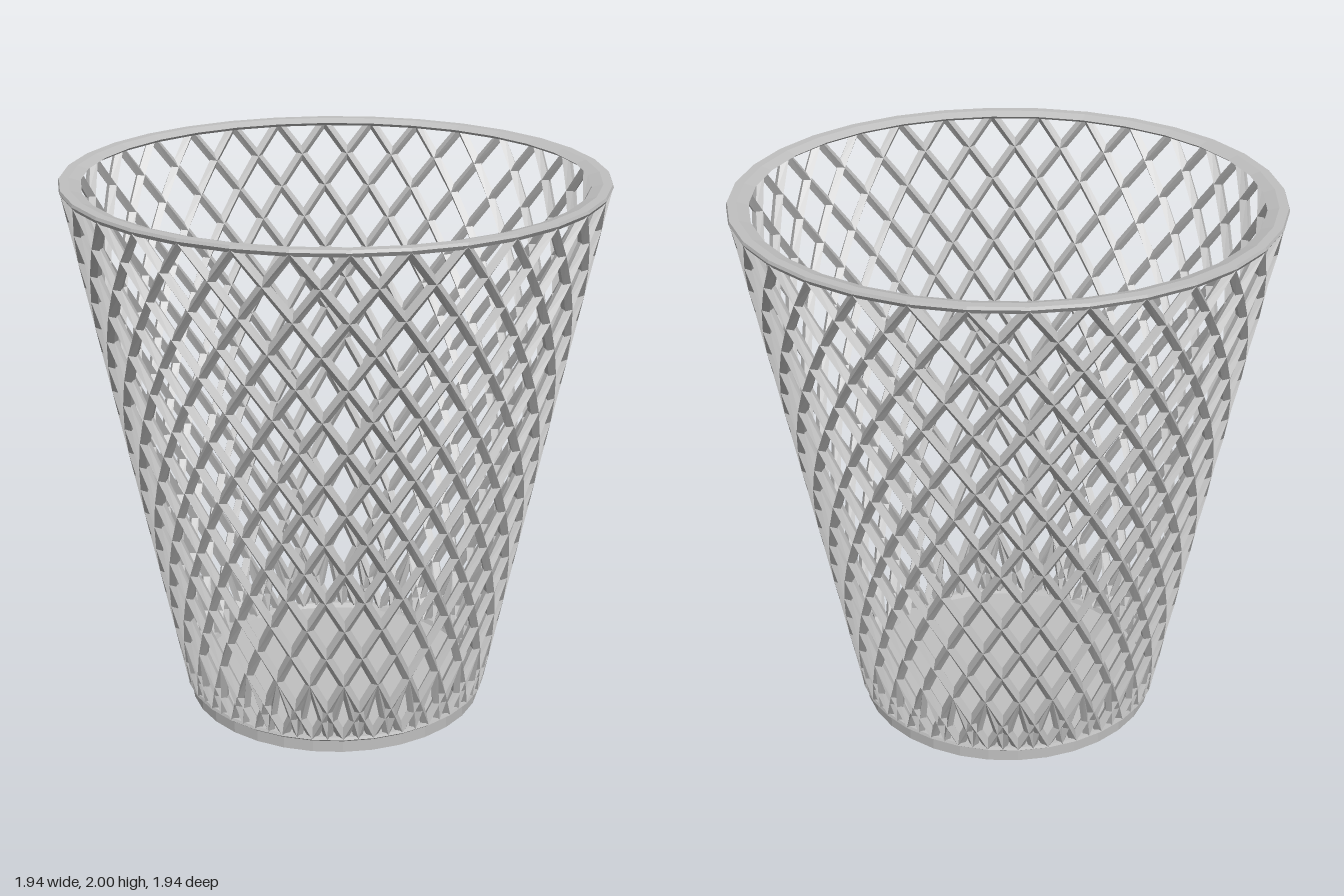
import * as THREE from 'three';
import { mergeGeometries } from 'three/addons/utils/BufferGeometryUtils.js';

const COUNT = 32;            // strands in each direction
const STEP = Math.PI * 2 / COUNT;
const ROWS = 16;             // crossings from rim to foot
const FOOT_Y = 0.06, TOP_Y = 1.985;

// Centre line radius of the tapering wall at height y
const wallRadius = (y) => 0.55 + 0.4 * (y - FOOT_Y) / 1.94;

function wallPoint(angle, y) {
  const r = wallRadius(y);
  return new THREE.Vector3(Math.sin(angle) * r, y, Math.cos(angle) * r);
}

// Four-sided bar with its ridge facing outward, swept through points
function bar(points, depth, width) {
  const pos = [], index = [];
  points.forEach((p, i) => {
    const t = points[Math.min(i + 1, points.length - 1)].clone()
      .sub(points[Math.max(i - 1, 0)]).normalize();
    const n = new THREE.Vector3(p.x, 0, p.z).normalize();
    n.addScaledVector(t, -n.dot(t)).normalize();
    const b = t.clone().cross(n);
    for (let j = 0; j < 4; j++) {
      const a = j * Math.PI / 2;
      const v = p.clone().addScaledVector(n, Math.cos(a) * depth).addScaledVector(b, Math.sin(a) * width);
      pos.push(v.x, v.y, v.z);
    }
    if (i === 0) return;
    for (let j = 0; j < 4; j++) {
      const k = (j + 1) % 4, lo = (i - 1) * 4, hi = i * 4;
      index.push(lo + j, lo + k, hi + k, lo + j, hi + k, hi + j);
    }
  });
  const e = (points.length - 1) * 4;
  index.push(0, 2, 1, 0, 3, 2, e, e + 1, e + 2, e, e + 2, e + 3);
  const g = new THREE.BufferGeometry();
  g.setAttribute('position', new THREE.Float32BufferAttribute(pos, 3));
  g.setIndex(index);
  const flat = g.toNonIndexed();
  flat.computeVertexNormals();
  return flat;
}

// Closed faceted ring from [radius, y] corners listed anticlockwise
function ring(corners) {
  const pts = [...corners, corners[0]].map(([r, y]) => new THREE.Vector2(r, y));
  return new THREE.LatheGeometry(pts, COUNT);
}

export function createModel() {
  const grey = new THREE.MeshStandardMaterial({ color: 0xc0c0c0, flatShading: true });
  grey.name = 'grey metal';
  const model = new THREE.Group();
  model.name = 'wasteBasket';
  const add = (name, geometry) => {
    const mesh = new THREE.Mesh(geometry, grey);
    mesh.name = name;
    model.add(mesh);
    return mesh;
  };

  // Two opposing sets of spiral strands
  for (const dir of [1, -1]) {
    const strands = [];
    for (let i = 0; i < COUNT; i++) {
      const path = [];
      for (let k = 0; k <= ROWS; k++) {
        const y = TOP_Y + (FOOT_Y - TOP_Y) * k / ROWS;
        path.push(wallPoint(i * STEP + dir * k * STEP / 2, y));
      }
      strands.push(bar(path, 0.021, 0.018));
    }
    add(dir > 0 ? 'leftSpiralStrands' : 'rightSpiralStrands', mergeGeometries(strands));
  }

  // Steep struts that thicken the lattice above the foot
  const struts = [];
  for (let i = 0; i < COUNT; i++) {
    for (const dir of [1, -1]) {
      struts.push(bar([
        wallPoint(i * STEP + dir * STEP / 2, FOOT_Y),
        wallPoint(i * STEP, 0.3),
      ], 0.019, 0.015));
    }
  }
  add('footStruts', mergeGeometries(struts));

  // Rim
  add('rim', ring([[0.915, 1.975], [0.962, 1.975], [0.972, 1.99], [0.968, 2], [0.935, 2], [0.895, 1.988]]));

  // Foot lip and solid floor
  add('footLip', ring([[0.53, 0.045], [0.555, 0.045], [0.572, 0.058], [0.568, 0.068], [0.54, 0.068]]));
  const floor = add('floor', new THREE.CylinderGeometry(0.553, 0.553, 0.05, COUNT));
  floor.position.y = 0.025;

  return model;
}
